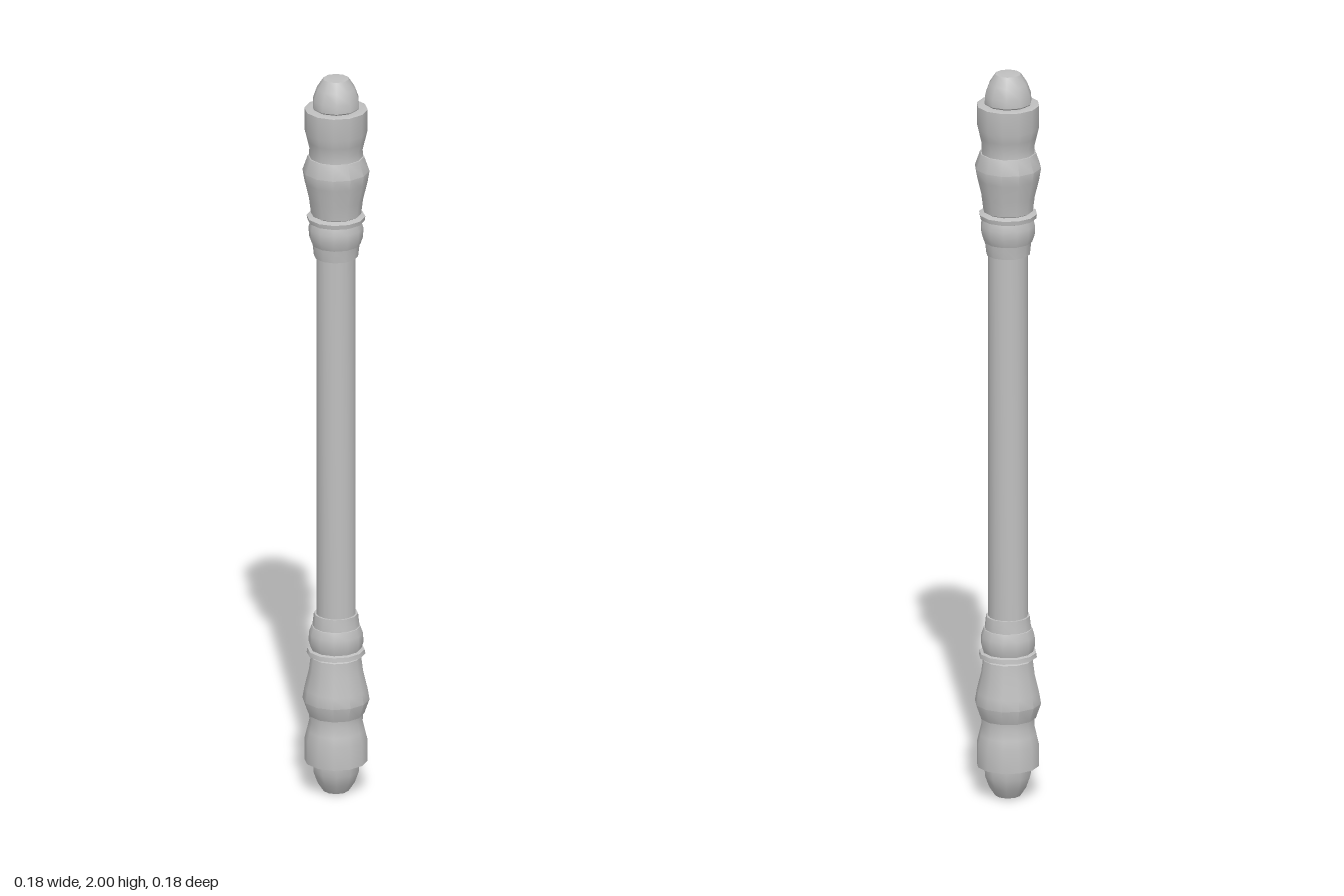
import * as THREE from 'three';
import { toCreasedNormals } from 'three/addons/utils/BufferGeometryUtils.js';

const grey = new THREE.MeshStandardMaterial({ color: 0xbfbfbf });
grey.name = 'grey';

// Turned part from [radius, height] pairs listed bottom to top
function turned(name, profile, sides = 12) {
  const points = profile.map(([r, y]) => new THREE.Vector2(r, y));
  const mesh = new THREE.Mesh(toCreasedNormals(new THREE.LatheGeometry(points, sides), 0.7), grey);
  mesh.name = name;
  return mesh;
}

// Profiles of the upper end; the lower end is its mirror image
const endParts = {
  collar: [[0.05, 1.5], [0.058, 1.5], [0.062, 1.535], [0.045, 1.535]],
  bead: [[0.045, 1.53], [0.064, 1.535], [0.071, 1.555], [0.072, 1.58], [0.066, 1.6], [0.05, 1.6]],
  ring: [[0.06, 1.595], [0.075, 1.6], [0.077, 1.612], [0.06, 1.617]],
  vase: [[0.05, 1.61], [0.066, 1.62], [0.071, 1.66], [0.083, 1.71], [0.088, 1.74], [0.074, 1.78], [0.05, 1.782]],
  neck: [[0.05, 1.775], [0.071, 1.78], [0.07, 1.8], [0.076, 1.825], [0.082, 1.85], [0.083, 1.912], [0.068, 1.916], [0.04, 1.91]],
  finial: [[0.045, 1.9], [0.063, 1.918], [0.062, 1.94], [0.051, 1.97], [0.034, 1.996], [0, 2]],
};

function turnedEnd(name, upper) {
  const end = new THREE.Group();
  end.name = name;
  for (const [part, profile] of Object.entries(endParts)) {
    const p = upper ? profile : profile.map(([r, y]) => [r, 2 - y]).reverse();
    end.add(turned(part, p, part === 'finial' ? 10 : 12));
  }
  return end;
}

export function createModel() {
  const model = new THREE.Group();
  model.name = 'turnedSpindle';
  model.add(turned('shaft', [[0.052, 0.48], [0.052, 1.52]], 16));
  model.add(turnedEnd('upperEnd', true), turnedEnd('lowerEnd', false));
  return model;
}
